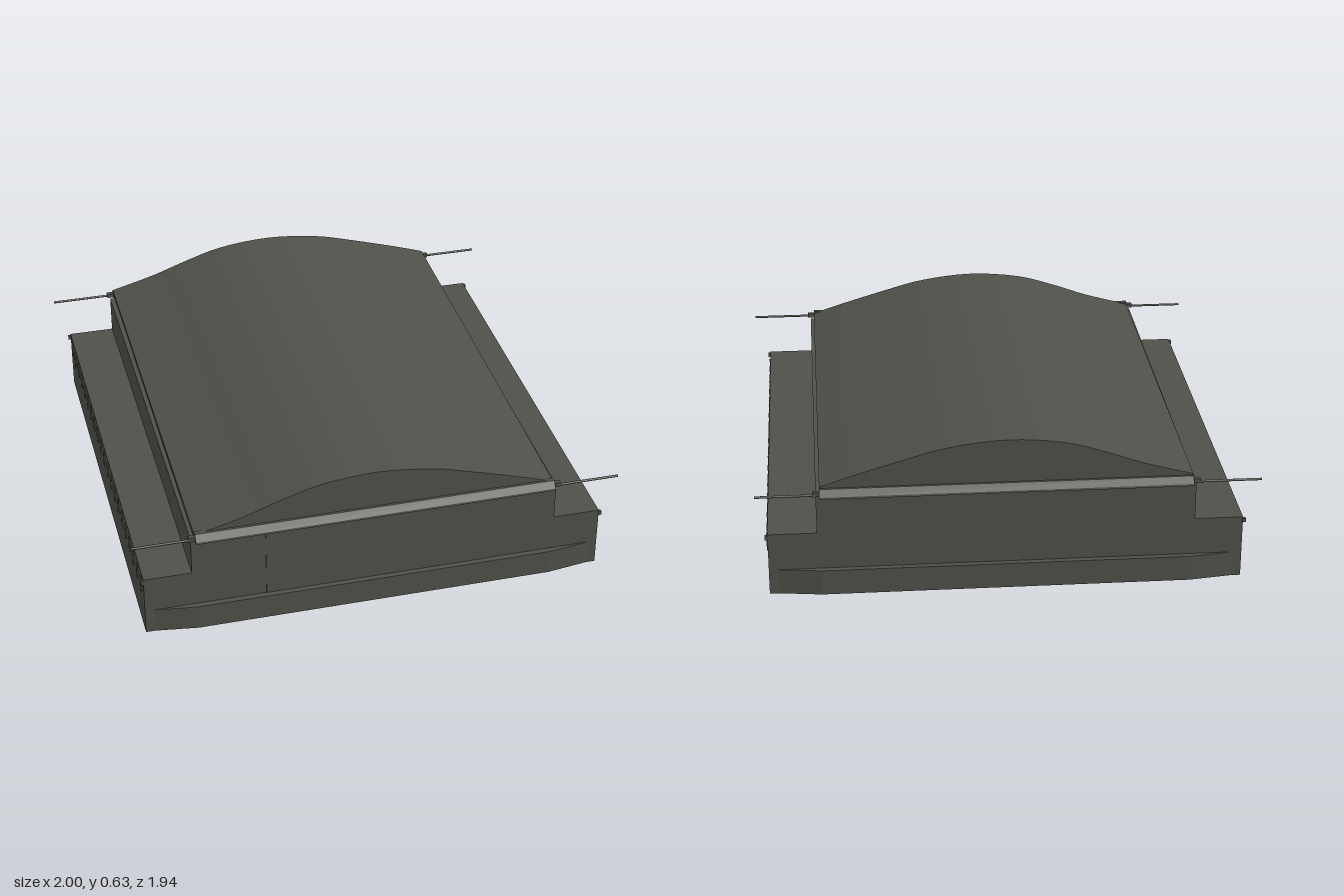
import * as THREE from 'three';
import { toCreasedNormals } from 'three/addons/utils/BufferGeometryUtils.js';

export function createModel() {
  const group = new THREE.Group();
  const concrete = new THREE.MeshStandardMaterial({ color: 0x50504a });
  concrete.name = 'dark grey concrete';

  const add = (name, geometry, x = 0, y = 0, z = 0) => {
    const mesh = new THREE.Mesh(geometry, concrete);
    mesh.name = name;
    mesh.position.set(x, y, z);
    group.add(mesh);
    return mesh;
  };
  const box = (name, w, h, d, x, y, z) => add(name, new THREE.BoxGeometry(w, h, d), x, y, z);
  const shapeOf = (points) => new THREE.Shape(points.map(([x, y]) => new THREE.Vector2(x, y)));
  const extrude = (shape, depth) =>
    new THREE.ExtrudeGeometry(shape, { depth, bevelEnabled: false });

  // Stepped hall: tall centre with a low wing along each side
  const hall = extrude(shapeOf([
    [-0.937, 0], [0.937, 0], [0.937, 0.26], [0.745, 0.26],
    [0.745, 0.42], [-0.745, 0.42], [-0.745, 0.26], [-0.937, 0.26],
  ]), 1.86);
  hall.translate(0, 0, -0.93);
  add('hall', hall);

  // Plinth with ends that swell outwards
  const plinth = extrude(shapeOf([
    [-0.937, -0.925], [-0.73, -0.954], [0.73, -0.954], [0.937, -0.925],
    [0.937, 0.925], [0.73, 0.954], [-0.73, 0.954], [-0.937, 0.925],
  ]), 0.105);
  plinth.rotateX(-Math.PI / 2);
  add('plinth', plinth);

  // Arched roof, rising slightly towards the back
  const arch = new THREE.SplineCurve([
    [0.73, 0.452], [0.61, 0.492], [0.39, 0.558], [0.22, 0.602], [0, 0.625],
    [-0.22, 0.606], [-0.39, 0.557], [-0.54, 0.504], [-0.73, 0.452],
  ].map(([x, y]) => new THREE.Vector2(x, y)));
  const roofShape = new THREE.Shape([
    new THREE.Vector2(-0.73, 0.432), new THREE.Vector2(0.73, 0.432), ...arch.getPoints(32),
  ]);
  let roof = extrude(roofShape, 1.87);
  roof.translate(0, 0, -0.935);
  const p = roof.attributes.position;
  for (let i = 0; i < p.count; i++) p.setY(i, p.getY(i) - 0.009 * p.getZ(i));
  roof = toCreasedNormals(roof, 0.4);
  add('roof', roof);

  // Large front door panel
  box('frontDoor', 0.895, 0.31, 0.006, 0, 0.262, 0.931);

  for (const end of [1, -1]) {
    // Sloping trim beam under each gable
    const beam = extrude(shapeOf([
      [0.925, 0.422], [0.968, 0.422], [0.966, 0.43], [0.945, 0.455], [0.925, 0.455],
    ]), 1.46);
    beam.rotateY(-Math.PI / 2);
    beam.translate(0.73, 0, 0);
    if (end < 0) beam.rotateY(Math.PI);
    add('gableBeam', beam);

    // Long rod sticking out past both ends of the beam
    const rod = new THREE.CylinderGeometry(0.005, 0.005, 1.98, 8);
    rod.rotateZ(Math.PI / 2);
    add('gableRod', rod, 0.01 * end, 0.43, 0.943 * end);

    for (const side of [1, -1]) {
      box('rodBracket', 0.03, 0.018, 0.018, 0.742 * side, 0.434, 0.94 * end);
      box('cornerKnob', 0.014, 0.016, 0.014, 0.941 * side, 0.246, 0.927 * end);
    }
  }

  // Rows of slim ribs along the outer wing walls
  for (const side of [1, -1]) {
    for (let i = 0; i < 21; i++) {
      box('wingRib', 0.008, 0.075, 0.008, 0.938 * side, 0.205, -0.88 + i * 0.088);
    }
  }

  return group;
}
